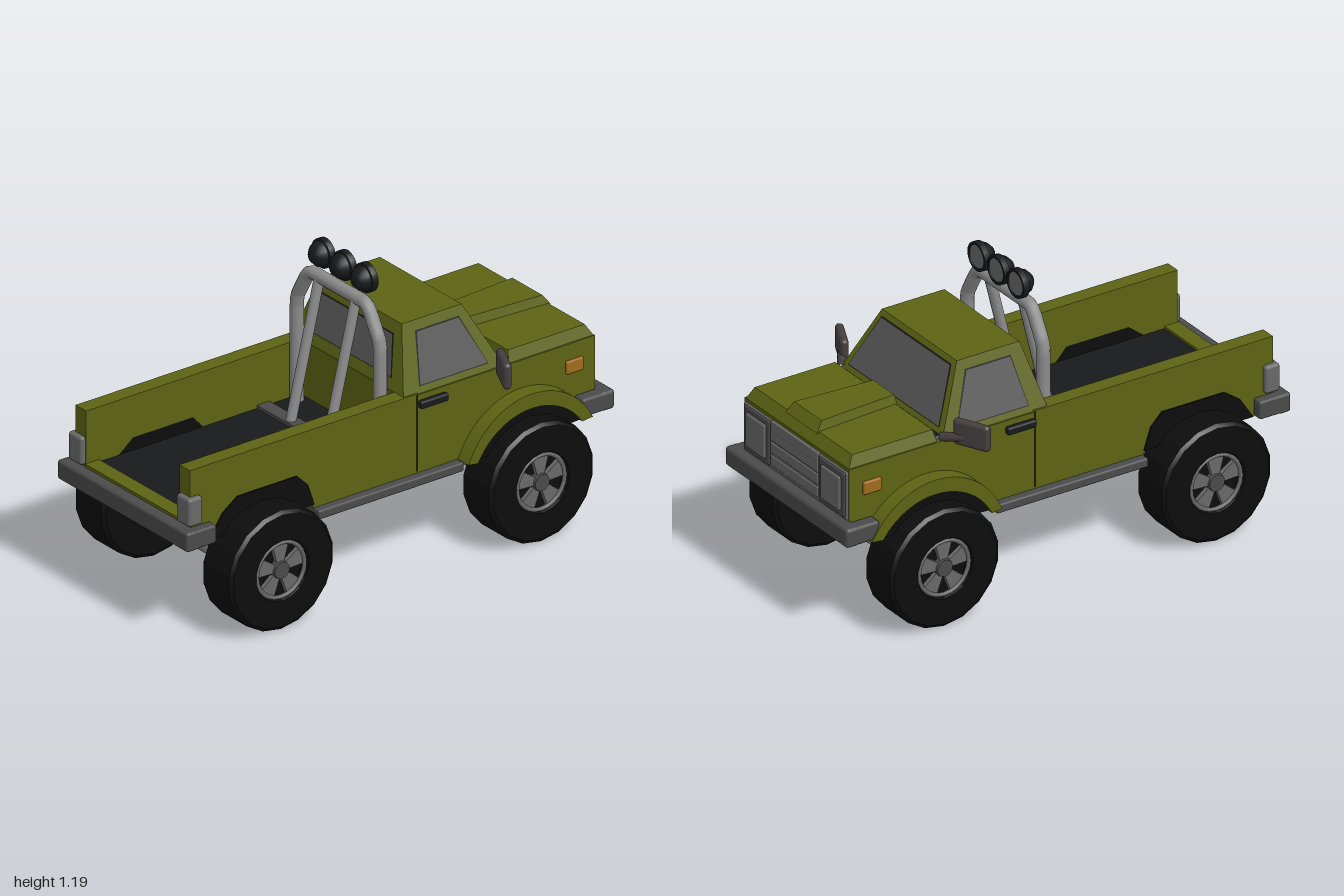
import * as THREE from 'three';
import { toCreasedNormals } from 'three/addons/utils/BufferGeometryUtils.js';
import { RoundedBoxGeometry } from 'three/addons/geometries/RoundedBoxGeometry.js';

const mat = (color, side = THREE.FrontSide) => new THREE.MeshStandardMaterial({ color, side });
const GREEN = mat(0x5c6414), BLACK = mat(0x0d0d0d), DARK = mat(0x17191b), STEEL = mat(0x8c8c8c),
  BUMPER = mat(0x4a4a4a), TRIM = mat(0x686868), GLASS = mat(0x585858, THREE.DoubleSide),
  SEAL = mat(0x1c1c14, THREE.DoubleSide), AMBER = mat(0xa06a1c), MIRROR = mat(0x453e3f);
const WHEELS = [-0.615, 0.605], SIDES = [1, -1];

export function createModel() {
  const truck = new THREE.Group();
  truck.name = 'pickupTruck';

  const add = (name, geo, material, x = 0, y = 0, z = 0, parent = truck) => {
    const m = new THREE.Mesh(geo, material);
    m.name = name;
    m.position.set(x, y, z);
    parent.add(m);
    return m;
  };
  // box given by its limits
  const block = (name, material, x0, x1, y0, y1, z0, z1, r = 0) => {
    const size = [x1 - x0, y1 - y0, Math.abs(z1 - z0)];
    const geo = r ? new RoundedBoxGeometry(...size, 2, r) : new THREE.BoxGeometry(...size);
    return add(name, geo, material, (x0 + x1) / 2, (y0 + y1) / 2, (z0 + z1) / 2);
  };
  // box with its own bottom and top rectangles: [x0, x1, half width at x0, half width at x1, y]
  const frustum = (name, material, b, t) => {
    const geo = new THREE.BoxGeometry(1, 1, 1).toNonIndexed(), p = geo.attributes.position;
    for (let i = 0; i < p.count; i++) {
      const q = p.getY(i) > 0 ? t : b, end = p.getX(i) > 0 ? 1 : 0;
      p.setXYZ(i, q[end], q[4], Math.sign(p.getZ(i)) * q[2 + end]);
    }
    geo.computeVertexNormals();
    return add(name, geo, material);
  };
  // four-cornered flat panel
  const panel = (name, material, pts) => {
    const geo = new THREE.BufferGeometry().setFromPoints(pts.map(p => new THREE.Vector3(...p)));
    geo.setIndex([0, 1, 2, 0, 2, 3]);
    geo.computeVertexNormals();
    return add(name, geo, material);
  };
  // side profile extruded between two z values
  const slab = (name, material, shape, z0, z1) => {
    const geo = new THREE.ExtrudeGeometry(shape, { depth: z1 - z0, bevelEnabled: false, curveSegments: 16 });
    return add(name, toCreasedNormals(geo, 0.6), material, 0, 0, z0);
  };
  // the same profile on either side of the truck
  const slabPair = (name, material, shape, inner, outer) => {
    slab(name, material, shape, inner, outer);
    slab(name, material, shape, -outer, -inner);
  };
  const poly = pts => new THREE.Shape(pts.map(p => new THREE.Vector2(...p)));
  const tube = (name, material, pts, r) => {
    const path = new THREE.CurvePath(), v = pts.map(p => new THREE.Vector3(...p));
    for (let i = 1; i < v.length; i++) path.add(new THREE.LineCurve3(v[i - 1], v[i]));
    return add(name, new THREE.TubeGeometry(path, 60, r, 12), material);
  };

  // load bed
  slabPair('bedSide', GREEN, poly([[-0.95, 0.4], [-0.86, 0.4], [-0.8, 0.48], [-0.73, 0.535], [-0.45, 0.535],
    [-0.4, 0.48], [-0.37, 0.38], [0.12, 0.38], [0.12, 0.71], [-0.95, 0.71]]), 0.285, 0.35);
  slabPair('rearArchLiner', BLACK, poly([[-0.86, 0.4], [-0.37, 0.4], [-0.4, 0.49], [-0.45, 0.54],
    [-0.73, 0.54], [-0.8, 0.49]]), 0.287, 0.356);
  for (const s of SIDES) block('tailLight', TRIM, -0.97, -0.905, 0.485, 0.6, s * 0.29, s * 0.372, 0.012);
  block('bedFloor', DARK, -0.91, 0.08, 0.4, 0.482, -0.286, 0.286);
  block('tailSill', GREEN, -0.955, -0.89, 0.4, 0.492, -0.286, 0.286);
  block('bedFrontWall', GREEN, 0.055, 0.12, 0.4, 0.71, -0.3, 0.3);

  // front body with round wheel cut-outs, flared fenders and black arch liners
  const front = new THREE.Shape();
  front.moveTo(0.1, 0.38).lineTo(0.351, 0.385);
  front.absarc(0.605, 0.245, 0.29, Math.PI - 0.504, 0.604, true);
  front.lineTo(0.95, 0.41).lineTo(0.95, 0.705).lineTo(0.1, 0.705);
  slab('frontBody', GREEN, front, -0.35, 0.35);
  const flare = new THREE.Shape();
  flare.absellipse(0.605, 0.245, 0.325, 0.345, 0.5, Math.PI - 0.41, false);
  flare.absarc(0.605, 0.245, 0.285, Math.PI - 0.48, 0.6, true);
  slabPair('frontFender', GREEN, flare, 0.345, 0.415);
  const arch = new THREE.Shape();
  arch.absarc(0.605, 0.245, 0.288, 0.6, Math.PI - 0.5, false);
  slabPair('frontArchLiner', BLACK, arch, 0.22, 0.4);
  for (const s of SIDES) {
    block('doorSeam', SEAL, 0.113, 0.119, 0.39, 0.705, s * 0.349, s * 0.352);
    block('doorHandle', DARK, 0.12, 0.25, 0.65, 0.682, s * 0.345, s * 0.372, 0.008);
    block('sideMarker', AMBER, 0.81, 0.89, 0.585, 0.638, s * 0.34, s * 0.362, 0.006);
    block('runningBoard', BUMPER, -0.37, 0.31, 0.345, 0.383, s * 0.3, s * 0.385, 0.008);
  }

  // hood and its raised scoop, wider at the front
  frustum('hood', GREEN, [0.55, 0.95, 0.345, 0.345, 0.7], [0.56, 0.92, 0.325, 0.325, 0.75]);
  frustum('hoodScoop', GREEN, [0.552, 0.93, 0.08, 0.105, 0.745], [0.56, 0.9, 0.07, 0.092, 0.786]);
  frustum('cowl', DARK, [0.5, 0.56, 0.33, 0.33, 0.7], [0.5, 0.56, 0.32, 0.32, 0.715]);

  // cab shell, with windows laid along its sloping faces
  frustum('cab', GREEN, [0.055, 0.53, 0.345, 0.345, 0.7], [0.12, 0.4, 0.25, 0.25, 0.96]);
  const t = y => (y - 0.7) / 0.26;
  const sideZ = (y, o) => 0.345 - 0.095 * t(y) + o;
  const screenX = (y, o) => 0.53 - 0.13 * t(y) + o;
  const rearX = (y, o) => 0.055 + 0.065 * t(y) - o;
  for (const [label, material, g, o] of [['Seal', SEAL, 0.005, 0.003], ['Glass', GLASS, 0, 0.006]]) {
    const lo = 0.735 - g, hi = 0.92 + g;
    for (const s of SIDES)
      panel('sideWindow' + label, material, [[0.14 - g, lo], [0.455 + g, lo], [0.37 + g, hi], [0.175 - g, hi]]
        .map(([x, y]) => [x, y, s * sideZ(y, o)]));
    const across = (name, xAt, y0, y1, z0, z1) => panel(name + label, material,
      [[y0 - g, z0 + g], [y0 - g, -z0 - g], [y1 + g, -z1 - g], [y1 + g, z1 + g]].map(([y, z]) => [xAt(y, o), y, z]));
    across('windscreen', screenX, 0.74, 0.937, 0.3, 0.228);
    across('rearWindow', rearX, 0.76, 0.91, 0.255, 0.215);
  }

  // wing mirrors, swept back
  for (const s of SIDES) {
    const housing = add('mirror', new RoundedBoxGeometry(0.034, 0.108, 0.155, 3, 0.016), MIRROR, 0.456, 0.746, s * 0.435);
    housing.rotation.y = -s * 0.45;
    tube('mirrorArm', MIRROR, [[0.525, 0.712, s * 0.33], [0.5, 0.722, s * 0.37], [0.47, 0.73, s * 0.41]], 0.018);
  }

  // grille and headlights
  block('grillePanel', TRIM, 0.94, 0.958, 0.49, 0.692, -0.345, 0.345, 0.008);
  for (const y of [0.53, 0.585, 0.635, 0.675]) block('grilleSlat', TRIM, 0.95, 0.964, y - 0.022, y + 0.022, -0.158, 0.158, 0.004);
  for (const s of SIDES) {
    block('headlightFrame', BUMPER, 0.945, 0.964, 0.5, 0.688, s * 0.162, s * 0.338, 0.009);
    block('headlight', TRIM, 0.95, 0.972, 0.52, 0.665, s * 0.185, s * 0.315, 0.01);
  }

  // bumpers wrapping round the corners, and underbody
  block('frontBumper', BUMPER, 0.94, 1, 0.41, 0.49, -0.41, 0.41, 0.015);
  block('rearBumper', BUMPER, -1, -0.945, 0.4, 0.48, -0.4, 0.4, 0.012);
  for (const s of SIDES) {
    block('frontBumperEnd', BUMPER, 0.85, 0.99, 0.412, 0.488, s * 0.35, s * 0.408, 0.012);
    block('rearBumperEnd', BUMPER, -0.99, -0.86, 0.402, 0.478, s * 0.35, s * 0.398, 0.01);
  }
  block('underbody', BUMPER, -0.96, 0.96, 0.402, 0.43, -0.284, 0.284);
  block('underbodyFront', BUMPER, 0.86, 0.96, 0.408, 0.44, -0.35, 0.35);
  block('chassis', BUMPER, -0.37, 0.31, 0.345, 0.405, -0.32, 0.32);

  // axles and wheels
  const V = (x, y) => new THREE.Vector2(x, y);
  const tyre = new THREE.LatheGeometry([V(0.001, -0.07), V(0.11, -0.07), V(0.125, -0.09), V(0.232, -0.09), V(0.246, -0.078),
    V(0.246, 0.078), V(0.232, 0.09), V(0.125, 0.09), V(0.112, 0.06), V(0.001, 0.06)], 18);
  const diff = new THREE.LatheGeometry([V(0.05, -0.15), V(0.075, -0.145), V(0.09, -0.12), V(0.09, 0.12), V(0.075, 0.145), V(0.05, 0.15)], 20);
  const spoke = poly([[0.02, -0.014], [0.108, -0.038], [0.108, 0.038], [0.02, 0.014]]);
  for (const x of WHEELS) {
    add('axle', new THREE.CylinderGeometry(0.05, 0.05, 0.62, 16), STEEL, x, 0.25, 0).rotation.x = Math.PI / 2;
    add('differential', toCreasedNormals(diff, 0.6), STEEL, x, 0.25, 0).rotation.x = Math.PI / 2;
    for (const s of SIDES) {
      const wheel = new THREE.Group();
      wheel.name = 'wheel';
      wheel.position.set(x, 0.246, s * 0.39);
      if (s < 0) wheel.rotation.y = Math.PI;
      truck.add(wheel);
      add('tyre', toCreasedNormals(tyre, 0.3), BLACK, 0, 0, 0, wheel).rotation.x = Math.PI / 2;
      add('rim', new THREE.TorusGeometry(0.112, 0.009, 6, 24), TRIM, 0, 0, 0.078, wheel);
      add('hub', new THREE.CylinderGeometry(0.034, 0.04, 0.03, 14), BUMPER, 0, 0, 0.073, wheel).rotation.x = Math.PI / 2;
      for (let i = 0; i < 5; i++)
        add('spoke', new THREE.ExtrudeGeometry(spoke, { depth: 0.02, bevelEnabled: false }), TRIM, 0, 0, 0.058, wheel)
          .rotation.z = Math.PI / 2 + i * Math.PI * 0.4;
    }
  }

  // roll bar with braces and three spotlights
  const halfBar = [[0.45, 0.255], [0.895, 0.255], [0.925, 0.248], [1.03, 0.188], [1.048, 0.165]];
  tube('rollBar', STEEL, [...halfBar.map(([y, z]) => [0.015, y, z]),
    ...halfBar.toReversed().map(([y, z]) => [0.015, y, -z])], 0.027);
  block('bracePlate', BUMPER, -0.15, -0.09, 0.47, 0.495, -0.285, 0.285);
  const bowl = new THREE.LatheGeometry([V(0.001, -0.04), V(0.025, -0.035), V(0.045, -0.015), V(0.052, 0.005),
    V(0.059, 0.008), V(0.059, 0.034), V(0.049, 0.034), V(0.047, 0.026), V(0.001, 0.026)], 20);
  for (const s of SIDES) tube('brace', STEEL, [[0.01, 1.04, s * 0.112], [-0.125, 0.48, s * 0.112]], 0.021);
  for (const z of [-0.13, 0, 0.13]) {
    add('spotlight', toCreasedNormals(bowl, 0.6), DARK, 0.024, 1.13, z).rotation.z = -Math.PI / 2;
    add('spotlightLens', new THREE.CylinderGeometry(0.047, 0.047, 0.006, 20), TRIM, 0.052, 1.13, z).rotation.z = -Math.PI / 2;
  }
  return truck;
}
